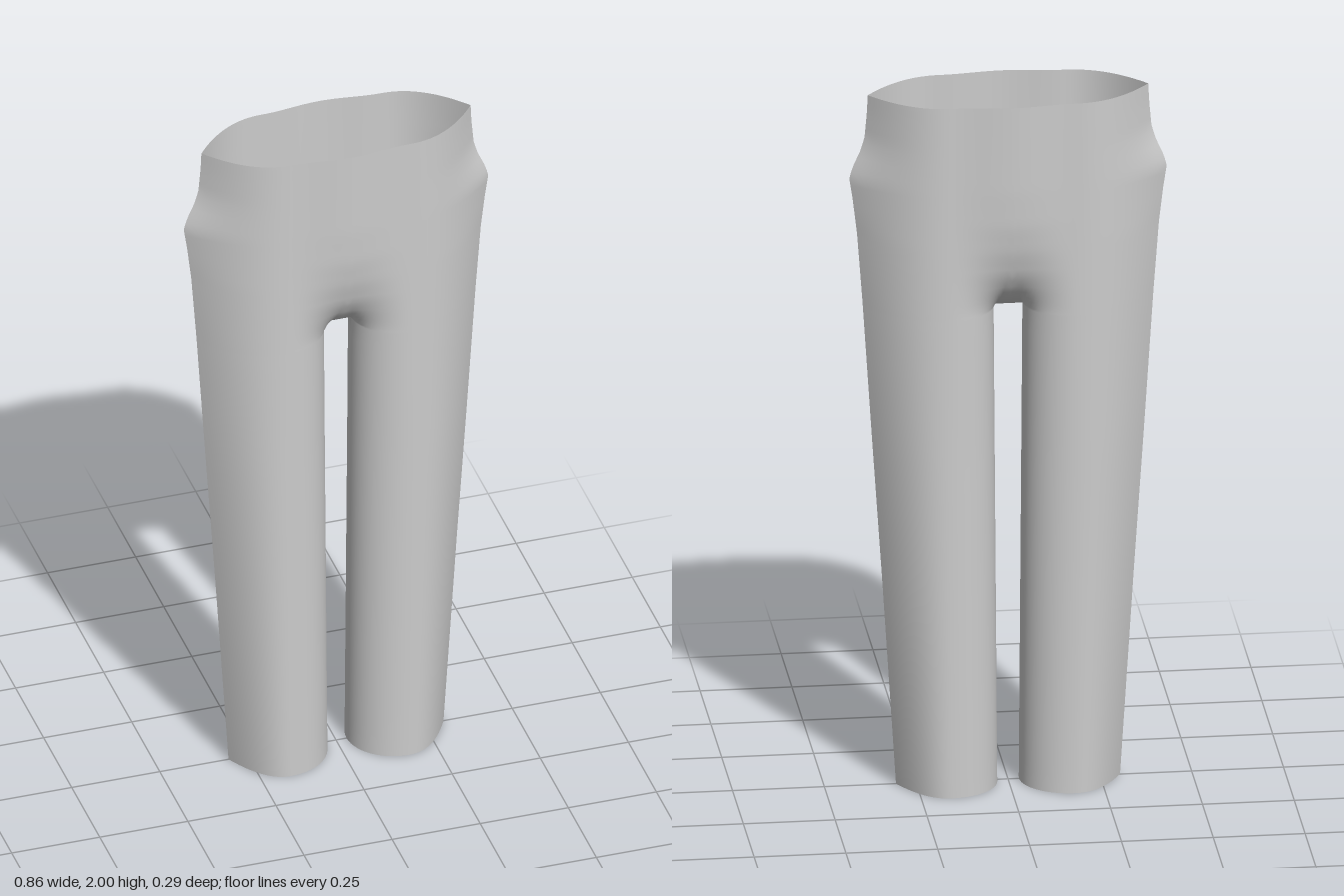
import * as THREE from 'three';

// Linear lookup through [height, value] pairs
function lookup(table, y) {
  let i = 1;
  while (i < table.length - 1 && y > table[i][0]) i++;
  const [y0, a] = table[i - 1], [y1, b] = table[i];
  return a + (b - a) * THREE.MathUtils.clamp((y - y0) / (y1 - y0), 0, 1);
}

const CROTCH = 1.38, DEPTH = 0.128, N = 14;
const outerX = [[0, 0.305], [0.6, 0.343], [1, 0.37], [1.4, 0.396], [1.6, 0.405], [1.76, 0.4], [1.87, 0.388], [2, 0.382]];
const hipBulge = [[1.4, 0], [1.6, 0.006], [1.7, 0.021], [1.76, 0.032], [1.79, 0.028], [1.84, 0.011], [1.88, 0.003], [1.95, 0]];
const innerX = [[0, 0.03], [CROTCH, 0.04]];
const centreZ = [[CROTCH, 0], [1.395, 0.025], [1.42, 0.055], [1.45, 0.082], [1.5, 0.108], [1.57, 0.127], [1.65, 0.138], [1.75, 0.142], [2, 0.143]];
const crestX = [[0, 0.168], [1, 0.18], [2, 0.17]];

// Quarter cross-section, from the centre seam round to the side seam
function section(y) {
  const xo = lookup(outerX, y), bulge = lookup(hipBulge, y);
  const xi = lookup(innerX, y), zc = lookup(centreZ, y), xc = lookup(crestX, y);
  const blend = Math.min(1, zc / 0.11);
  const pts = [[0, zc]];
  // inner thigh, melting into the flat front above the crotch
  for (let i = N; i >= 0; i--) {
    const t = i / N, a = t * Math.PI / 2, s = t * N / (N + 1);
    const legX = xc - (xc - xi) * Math.sin(a), legZ = zc + (DEPTH - zc) * Math.cos(a);
    const flatX = xc * (1 - s), flatZ = zc + (DEPTH - zc) * (0.5 + 0.5 * Math.cos(Math.PI * s));
    pts.push([legX + (flatX - legX) * blend, legZ + (flatZ - legZ) * blend]);
  }
  // outer thigh, ending in a sharp side seam
  for (let i = 1; i <= N; i++) {
    const f = i / N;
    pts.push([xc + (xo - xc) * f + bulge * f ** 4, DEPTH * (1 - f ** 2.1)]);
  }
  return pts;
}

// One quarter of the cloth shell; sx and sz mirror it
function quarterShell(sx, sz) {
  const heights = [];
  for (let i = 0; i < 23; i++) heights.push(CROTCH * i / 23);
  heights.push(CROTCH, 1.387, 1.395, 1.407);
  for (let y = 1.42; y < 1.995; y += 0.02) heights.push(y);
  heights.push(2);
  const pos = [], index = [], cols = 2 * N + 2;
  heights.forEach((y, r) => {
    section(y).forEach(([x, z]) => pos.push(x * sx, y, z * sz));
    if (r === 0) return;
    // below the crotch the centre column is left open between the legs
    for (let c = y > CROTCH ? 0 : 1; c < cols - 1; c++) {
      const a = (r - 1) * cols + c, b = a + 1, d = a + cols, e = d + 1;
      if (sx * sz > 0) index.push(a, b, e, a, e, d);
      else index.push(a, e, b, a, d, e);
    }
  });
  const geo = new THREE.BufferGeometry();
  geo.setAttribute('position', new THREE.Float32BufferAttribute(pos, 3));
  geo.setIndex(index);
  geo.computeVertexNormals();
  return geo;
}

export function createModel() {
  const model = new THREE.Group();
  model.name = 'trousers';
  const cloth = new THREE.MeshStandardMaterial({ color: 0xcccccc, side: THREE.DoubleSide });
  cloth.name = 'light grey cloth';
  for (const [sx, side] of [[1, 'left'], [-1, 'right']]) {
    for (const [sz, face] of [[1, 'Front'], [-1, 'Back']]) {
      const panel = new THREE.Mesh(quarterShell(sx, sz), cloth);
      panel.name = `${side}${face}Panel`;
      model.add(panel);
    }
  }
  return model;
}
